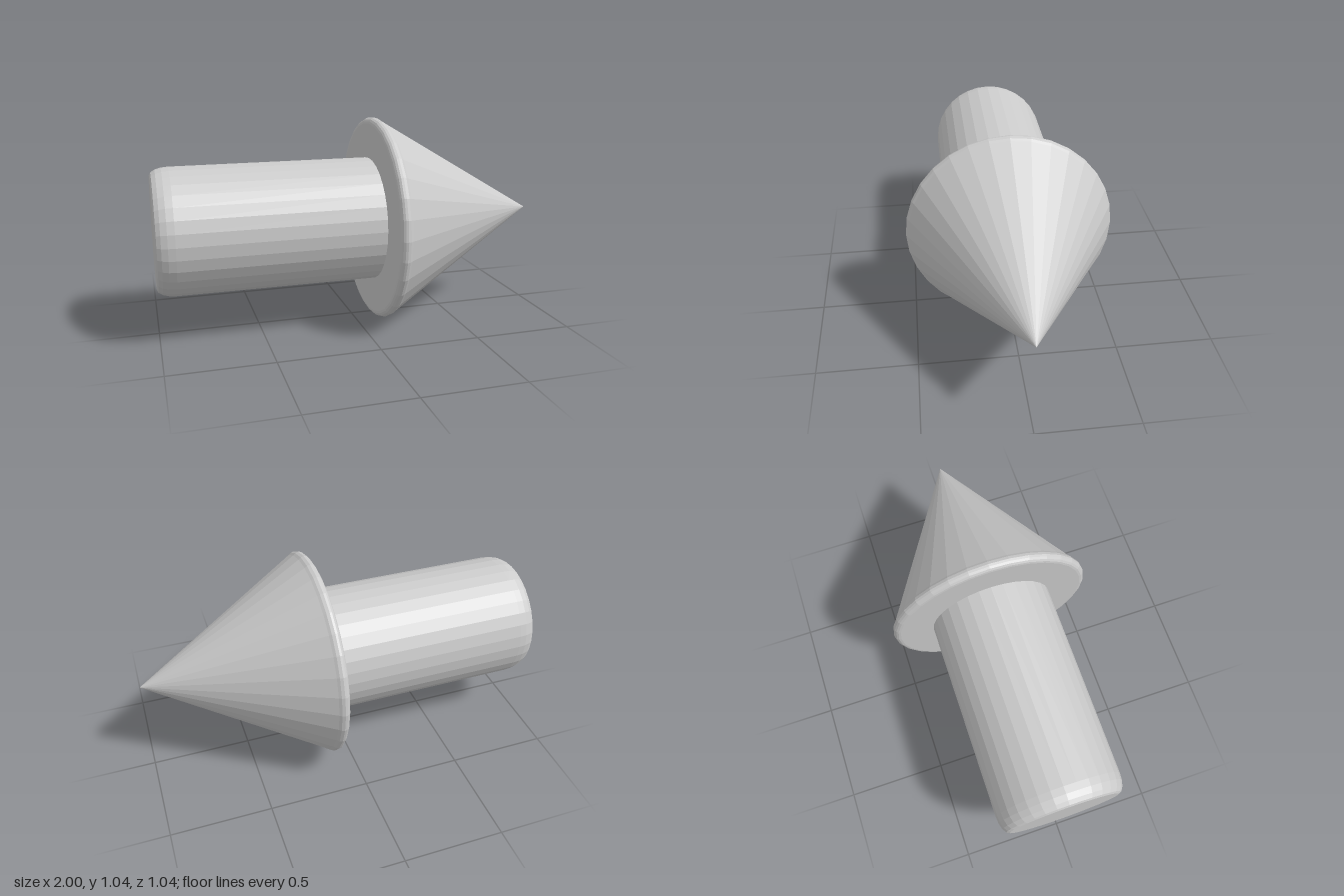
import * as THREE from 'three';

const SIDES = 32;
const AXIS_HEIGHT = 0.52;

// Quarter-ellipse of [x, radius] points rounding an edge, from a flat face out to the rim
function roundEdge(x, radius, length, depth, steps) {
  const points = [];
  for (let i = 0; i <= steps; i++) {
    const a = (i / steps) * Math.PI / 2;
    points.push([x + length * (1 - Math.cos(a)), radius - depth * (1 - Math.sin(a))]);
  }
  return points;
}

// Revolve [x, radius] points around the x axis
function turned(name, profile, material) {
  const points = profile.map(([x, r]) => new THREE.Vector2(r, x));
  const geometry = new THREE.LatheGeometry(points, SIDES);
  geometry.rotateZ(-Math.PI / 2);
  const mesh = new THREE.Mesh(geometry, material);
  mesh.name = name;
  mesh.position.y = AXIS_HEIGHT;
  return mesh;
}

export function createModel() {
  const group = new THREE.Group();
  group.name = 'arrow';
  const material = new THREE.MeshStandardMaterial({ color: 0xcccccc, flatShading: true });

  // Shaft with a rounded, flat-capped tail
  group.add(turned('shaft', [
    [-1, 0],
    ...roundEdge(-1, 0.315, 0.09, 0.04, 4),
    [0.1, 0.315],
  ], material));

  // Cone head with a rounded rim and flat back
  group.add(turned('head', [
    [0.093, 0],
    ...roundEdge(0.093, 0.52, 0.03, 0.03, 4),
    [0.138, 0.515],
    [0.15, 0.506],
    [1, 0],
  ], material));

  return group;
}
